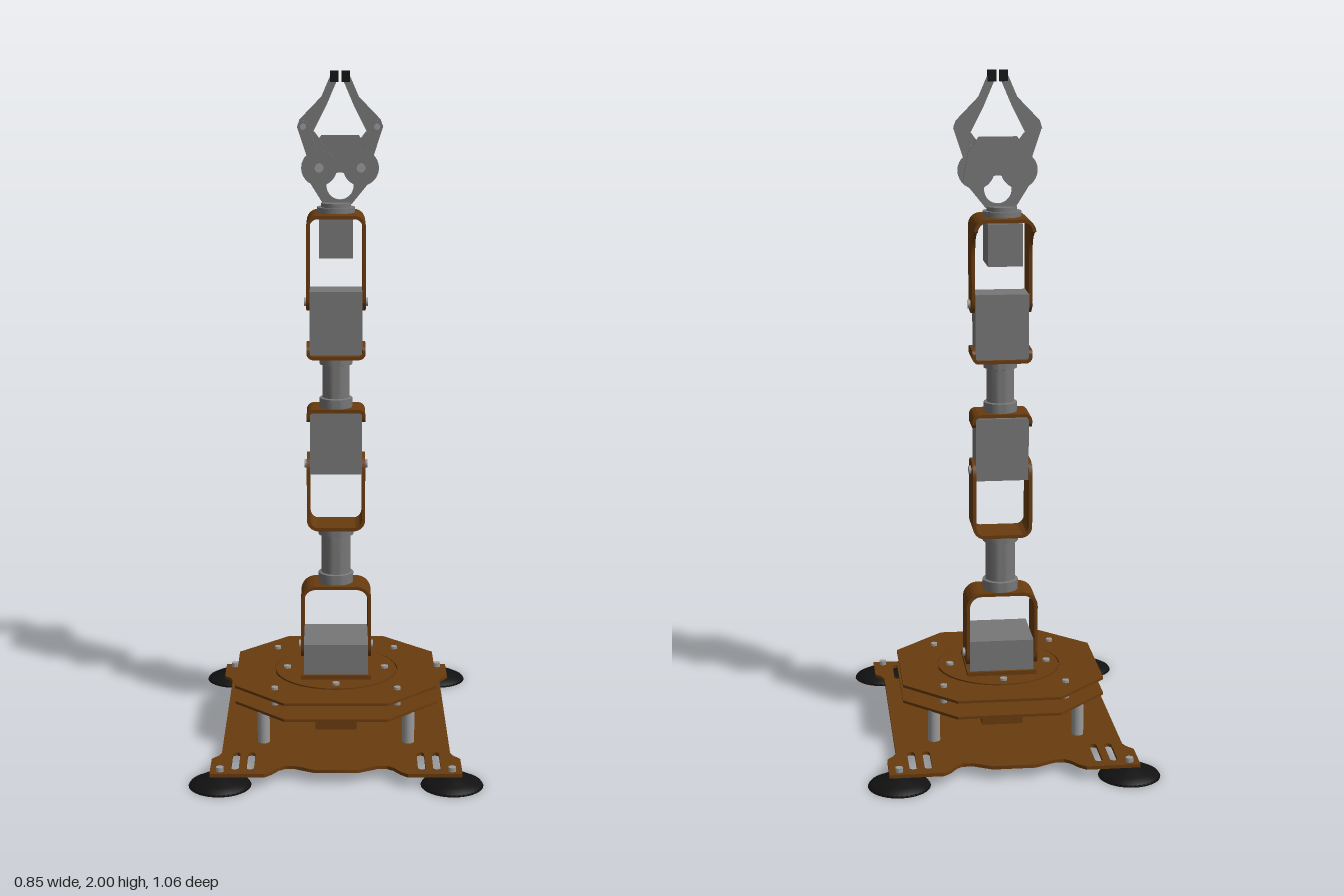
import * as THREE from 'three';
import { toCreasedNormals } from 'three/addons/utils/BufferGeometryUtils.js';

export function createModel() {
  const root = new THREE.Group();
  const mat = (name, color) => {
    const m = new THREE.MeshStandardMaterial({ color });
    m.name = name;
    return m;
  };
  const bronze = mat('bronze', 0x693b0e);
  const grey = mat('grey', 0x777777);
  const steel = mat('steel', 0x9a9a9a);
  const black = mat('black', 0x111111);

  const add = (name, geo, material, x = 0, y = 0, z = 0, parent = root) => {
    const m = new THREE.Mesh(geo, material);
    m.name = name;
    m.position.set(x, y, z);
    parent.add(m);
    return m;
  };
  // Box and upright cylinder given by their extents
  const box = (name, m, x0, x1, y0, y1, z0, z1) =>
    add(name, new THREE.BoxGeometry(x1 - x0, y1 - y0, z1 - z0), m, (x0 + x1) / 2, (y0 + y1) / 2, (z0 + z1) / 2);
  const cyl = (name, m, r, y0, y1, x, z, seg = 32) =>
    add(name, new THREE.CylinderGeometry(r, r, y1 - y0, seg), m, x, (y0 + y1) / 2, z);
  const poly = pts => new THREE.Shape(pts.map(p => new THREE.Vector2(p[0], p[1])));
  const extrude = (shape, depth) => toCreasedNormals(
    new THREE.ExtrudeGeometry(shape, { depth, bevelEnabled: false, curveSegments: 16 }), 0.6);
  const flat = (shape, depth) => extrude(shape, depth).rotateX(-Math.PI / 2);
  const circle = (x, y, r) => new THREE.Path().absarc(x, y, r, 0, Math.PI * 2, true);
  const corners = f => { for (const sx of [-1, 1]) for (const sz of [-1, 1]) f(sx, sz); };

  // Base plate: one quarter outline mirrored to all four
  const q = [[0.335, 0.305], [0.342, 0.325], [0.362, 0.35], [0.362, 0.463], [0.205, 0.463], [0.185, 0.445],
    [0.165, 0.415], [0.148, 0.403], [0.118, 0.403], [0.095, 0.415], [0.062, 0.432]];
  const flip = (sx, sy) => q.map(([x, y]) => [x * sx, y * sy]);
  const plate = poly([...flip(1, 1), ...flip(-1, 1).reverse(), ...flip(-1, -1), ...flip(1, -1).reverse()]);
  corners((sx, sz) => {
    for (const x of [0.247, 0.291]) {
      const slot = new THREE.Path();
      slot.absarc(x * sx, 0.417 * sz, 0.011, sz > 0 ? 0 : Math.PI, sz > 0 ? Math.PI : 2 * Math.PI, false);
      slot.absarc(x * sx, 0.313 * sz, 0.011, sz > 0 ? Math.PI : 0, sz > 0 ? 2 * Math.PI : Math.PI, false);
      plate.holes.push(slot);
    }
  });
  add('basePlate', flat(plate, 0.01), bronze, 0, 0.032, 0);

  // Suction feet with screws, standoff posts, deck screws
  const cup = [[0, 0.012], [0.05, 0.008], [0.09, 0], [0.086, 0.006], [0.065, 0.017], [0.035, 0.024], [0.018, 0.032], [0, 0.032]]
    .map(p => new THREE.Vector2(...p));
  corners((sx, sz) => {
    add('suctionFoot', new THREE.LatheGeometry(cup, 40), black, sx * 0.333, 0, sz * 0.44);
    cyl('footScrew', steel, 0.012, 0.04, 0.055, sx * 0.333, sz * 0.44, 6);
    cyl('standoff', steel, 0.018, 0.042, 0.138, sx * 0.215, sz * 0.215, 16);
    cyl('deckPost', steel, 0.011, 0.146, 0.202, sx * 0.183, sz * 0.183, 6);
  });
  for (let i = 0; i < 4; i++) {
    const a = i * Math.PI / 2;
    cyl('turntableScrew', steel, 0.012, 0.195, 0.203, 0.149 * Math.cos(a), 0.149 * Math.sin(a), 6);
  }

  // Octagonal decks, base motor housing and turntable
  const octagon = () => poly([[0.302, -0.152], [0.302, 0.152], [0.152, 0.302], [-0.152, 0.302],
    [-0.302, 0.152], [-0.302, -0.152], [-0.152, -0.302], [0.152, -0.302]]);
  add('lowerDeck', flat(octagon(), 0.008), bronze, 0, 0.137, 0);
  const upper = octagon();
  upper.holes.push(circle(0, 0, 0.189));
  add('upperDeck', flat(upper, 0.008), bronze, 0, 0.186, 0);
  box('baseHousing', bronze, -0.062, 0.062, 0.04, 0.138, -0.117, 0.12);
  cyl('turntable', bronze, 0.184, 0.144, 0.196, 0, 0, 48);
  box('shoulderTray', bronze, -0.105, 0.105, 0.196, 0.208, -0.11, 0.105);
  box('shoulderMotor', grey, -0.097, 0.097, 0.208, 0.302, -0.1, 0.096);

  // U bracket: bent strap plus two rounded legs; down = legs hang below y
  const T = 0.01;
  function bracket(name, y, down, half, len, z0, z1, { bend = 0.035, round = 0.045, back = z1, pin = 0 } = {}) {
    const g = new THREE.Group();
    g.name = name;
    g.position.y = y;
    if (down) g.rotation.z = Math.PI;
    root.add(g);
    const u = new THREE.Shape();
    u.moveTo(-half, bend);
    u.absarc(-half + bend, bend, bend, Math.PI, 1.5 * Math.PI, false);
    u.absarc(half - bend, bend, bend, 1.5 * Math.PI, 2 * Math.PI, false);
    u.lineTo(half - T, bend);
    u.absarc(half - bend, bend, bend - T, 0, -Math.PI / 2, true);
    u.absarc(-half + bend, bend, bend - T, 1.5 * Math.PI, Math.PI, true);
    u.lineTo(-half, bend);
    add(name + 'Strap', extrude(u, z0 - back), bronze, 0, 0, back, g);
    const s = new THREE.Shape();
    s.moveTo(z0, bend);
    s.lineTo(z0, len - round);
    s.quadraticCurveTo(z0, len, z0 - round, len);
    s.lineTo(z1 + round, len);
    s.quadraticCurveTo(z1, len, z1, len - round);
    if (back !== z1) {
      s.lineTo(z1, 0.125);
      s.bezierCurveTo(z1, 0.07, z1 - 0.02, 0.045, back, bend);
    }
    s.lineTo(back, bend);
    const leg = extrude(s, T).rotateY(-Math.PI / 2);
    for (const side of [-1, 1]) {
      add(name + 'Leg', leg, bronze, side > 0 ? half : -half + T, 0, 0, g);
      if (pin) add(name + 'Pin', new THREE.CylinderGeometry(0.013, 0.013, 0.02, 12).rotateZ(Math.PI / 2),
        steel, side * (half - 0.003), pin, (z0 + z1) / 2, g);
    }
  }
  // Round arm link with a flange at each end
  const Z = -0.058;
  function armLink(name, y0, y1, r) {
    const p = [[0, y0], [r, y0], [r, y0 + 0.03], [r - 0.008, y0 + 0.032], [r - 0.008, y1 - 0.026], [r, y1 - 0.024], [r, y1], [0, y1]];
    add(name, toCreasedNormals(new THREE.LatheGeometry(p.map(v => new THREE.Vector2(...v)), 36), 0.6), grey, 0, 0, Z);
  }

  // Arm from shoulder to wrist
  bracket('shoulderBracket', 0.457, true, 0.107, 0.232, 0.008, -0.115, { bend: 0.045, pin: 0.202 });
  armLink('lowerArm', 0.457, 0.632, 0.053);
  bracket('elbowBracket', 0.63, false, 0.088, 0.228, 0, -0.125, { pin: 0.197 });
  box('elbowMotor', grey, -0.078, 0.078, 0.805, 0.992, -0.115, -0.012);
  bracket('elbowCap', 1.005, true, 0.088, 0.04, -0.004, -0.116, { bend: 0.02, round: 0.015 });
  armLink('upperArm', 1.003, 1.16, 0.049);
  bracket('wristCap', 1.156, false, 0.088, 0.04, -0.004, -0.116, { bend: 0.02, round: 0.015 });
  box('wristMotor', grey, -0.078, 0.078, 1.168, 1.36, -0.115, -0.014);
  bracket('wristBracket', 1.586, true, 0.088, 0.286, 0, -0.105, { back: -0.188, pin: 0.262 });
  box('gripperMotor', grey, -0.05, 0.05, 1.453, 1.574, -0.191, -0.055);
  cyl('wristFlange', grey, 0.056, 1.584, 1.602, 0, -0.097);
  cyl('wristHub', grey, 0.044, 1.602, 1.614, 0, -0.097);

  // Gripper: palm plate with round cut-out, geared links and fingers
  const grip = new THREE.Group();
  grip.name = 'gripper';
  grip.position.set(0.012, 0, -0.097);
  root.add(grip);
  const palm = poly([[-0.05, 1.61], [0.035, 1.61], [0.1, 1.69], [0.085, 1.77], [0.055, 1.813], [-0.055, 1.813],
    [-0.085, 1.77], [-0.1, 1.69]]);
  palm.holes.push(circle(0, 1.663, 0.04));
  add('palm', extrude(palm, 0.007), grey, 0, 0, -0.009, grip);
  const bar = (a, b, w) => {
    const t = Math.atan2(b[1] - a[1], b[0] - a[0]), s = new THREE.Shape();
    s.absarc(b[0], b[1], w, t - Math.PI / 2, t + Math.PI / 2, false);
    s.absarc(a[0], a[1], w, t + Math.PI / 2, t + 1.5 * Math.PI, false);
    return s;
  };
  const disc = (name, m, r, d, x, y, z) =>
    add(name, new THREE.CylinderGeometry(r, r, d, 28).rotateX(Math.PI / 2), m, x, y, z, grip);
  for (const s of [-1, 1]) {
    disc('gear', grey, 0.053, 0.007, s * 0.062, 1.717, 0.002);
    disc('gearScrew', steel, 0.013, 0.006, s * 0.062, 1.717, 0.008);
    add('fingerLink', extrude(bar([s * 0.075, 1.735], [s * 0.109, 1.838], 0.017), 0.006), grey, 0, 0, 0, grip);
    add('innerLink', extrude(bar([s * 0.045, 1.765], [s * 0.082, 1.815], 0.01), 0.005), grey, 0, 0, -0.002, grip);
    disc('knuckleScrew', steel, 0.009, 0.006, s * 0.109, 1.838, 0.008);
    const finger = [[0.127, 1.835], [0.12, 1.858], [0.055, 1.925], [0.03, 1.983], [0.01, 1.983],
      [0.012, 1.965], [0.04, 1.9], [0.078, 1.825], [0.1, 1.818]].map(([x, y]) => [s * x, y]);
    add('finger', extrude(poly(finger), 0.007), grey, 0, 0, -0.006, grip);
    add('fingerTip', new THREE.BoxGeometry(0.025, 0.032, 0.016), black, s * 0.0165, 1.984, -0.001, grip);
  }
  return root;
}
